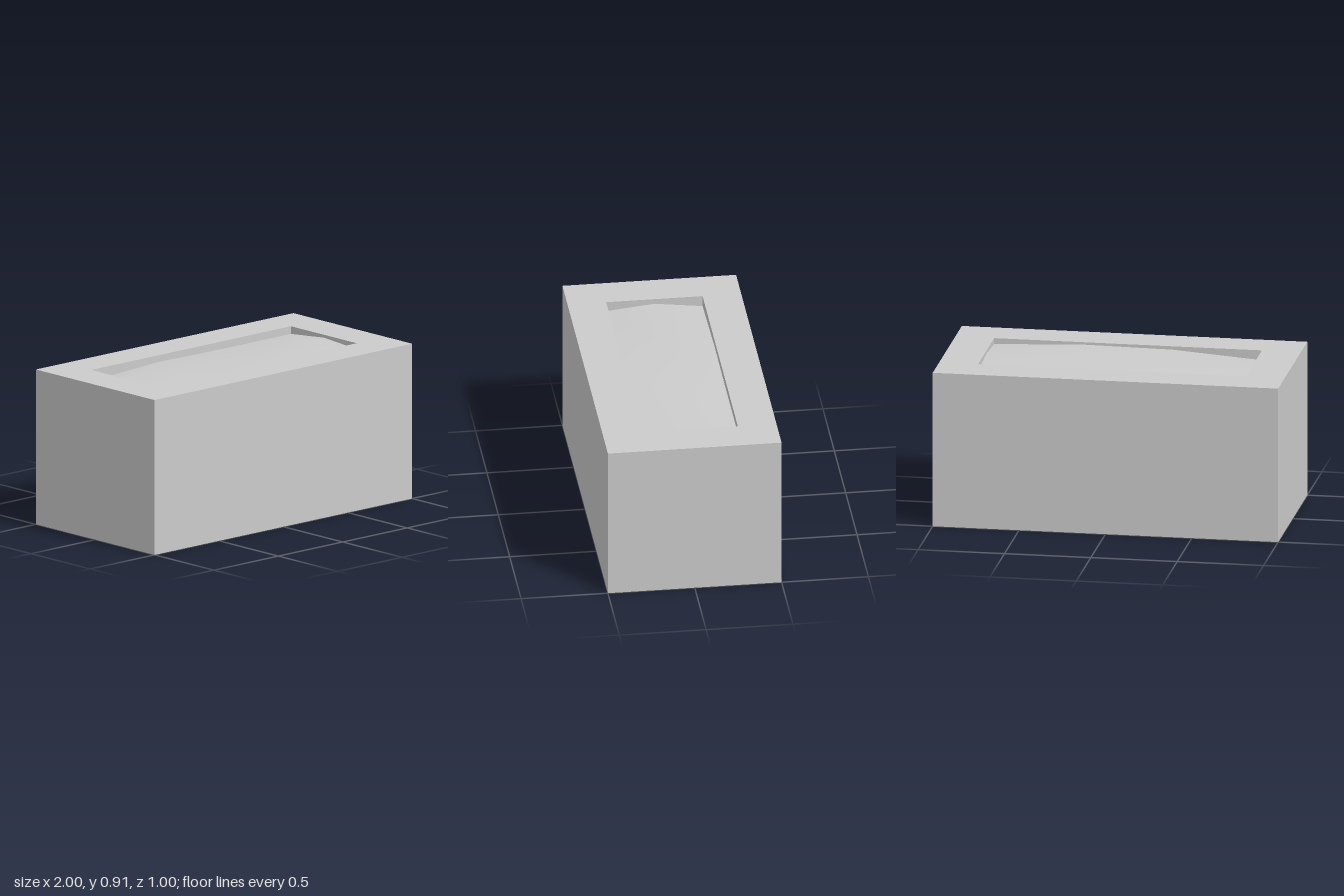
import * as THREE from 'three';

const W = 2, H = 0.91, D = 1;        // outer size
const IW = 1.55, ID = 0.555;         // opening size

function rect(Type, w, h) {
  return new Type([
    new THREE.Vector2(-w / 2, -h / 2), new THREE.Vector2(w / 2, -h / 2),
    new THREE.Vector2(w / 2, h / 2), new THREE.Vector2(-w / 2, h / 2),
  ]);
}

export function createModel() {
  const group = new THREE.Group();
  group.name = 'planterBox';
  const material = new THREE.MeshStandardMaterial({ color: 0xcccccc });
  const add = (name, geometry, mat = material) => {
    const mesh = new THREE.Mesh(geometry, mat);
    mesh.name = name;
    group.add(mesh);
    return mesh;
  };

  // Thick rectangular walls around the opening
  const outline = rect(THREE.Shape, W, D);
  outline.holes.push(rect(THREE.Path, IW, ID));
  const walls = new THREE.ExtrudeGeometry(outline, { depth: H, bevelEnabled: false });
  walls.rotateX(-Math.PI / 2);
  add('walls', walls);

  // Floor closing the bottom of the opening
  add('floor', new THREE.BoxGeometry(IW, 0.1, ID)).position.y = 0.05;

  // Uneven soil, slightly mounded: depth below the rim, back row to front row
  const depths = [
    [0.065, 0.04, 0.045, 0.045],
    [0.03, 0.018, 0.016, 0.017],
    [0.058, 0.02, 0.014, 0.035],
  ];
  const soil = new THREE.PlaneGeometry(IW, ID, 3, 2).rotateX(-Math.PI / 2);
  const pos = soil.attributes.position;
  for (let i = 0; i < pos.count; i++) pos.setY(i, H - depths[Math.floor(i / 4)][i % 4]);
  soil.computeVertexNormals();
  const soilMaterial = material.clone();
  soilMaterial.side = THREE.DoubleSide;
  add('soil', soil, soilMaterial);

  return group;
}
